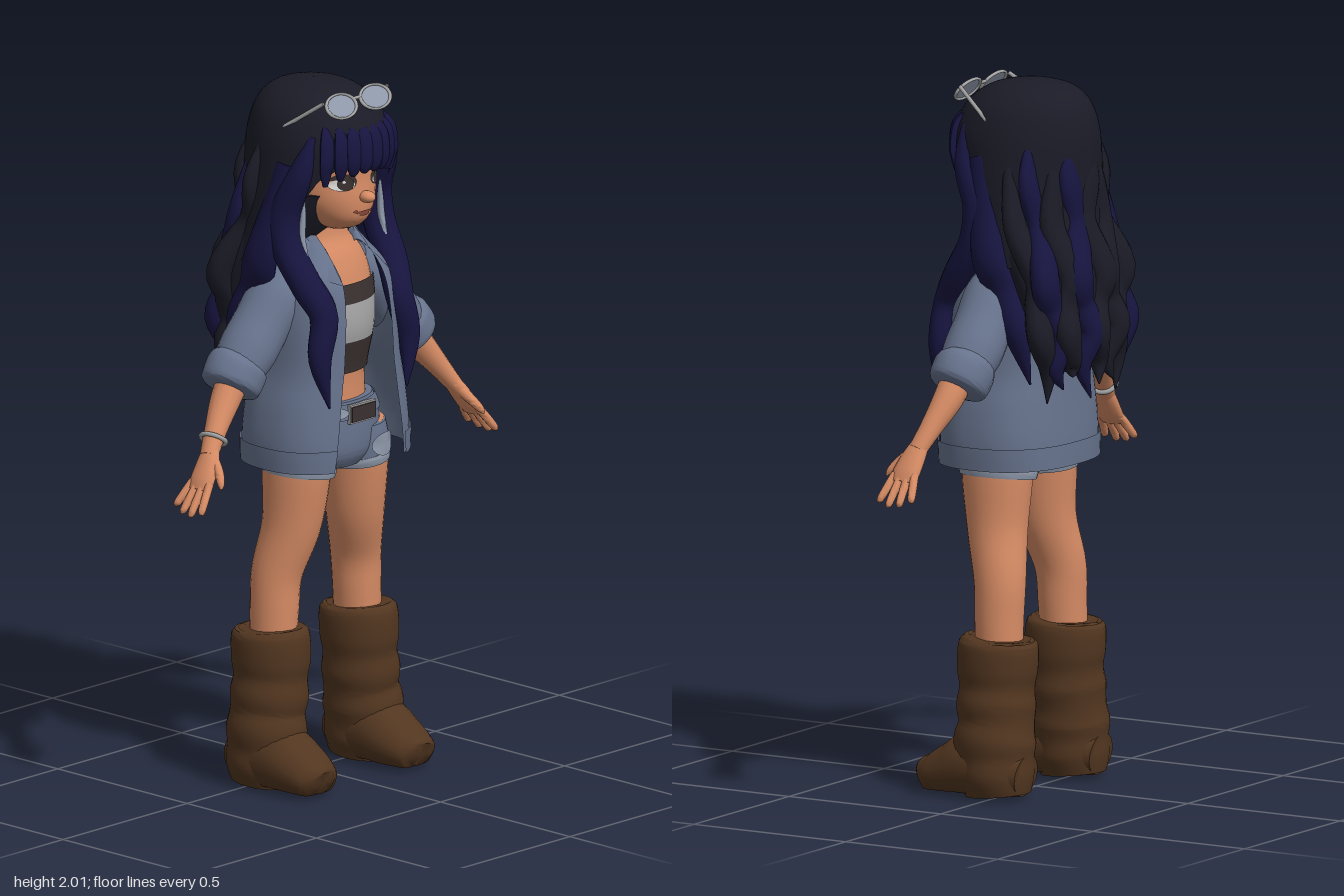
import * as THREE from 'three';
import { toCreasedNormals } from 'three/addons/utils/BufferGeometryUtils.js';

const mat = (name, color, side = THREE.FrontSide) => {
  const m = new THREE.MeshStandardMaterial({ color, side });
  m.name = name;
  return m;
};

// Smooth interpolation along a table of rows; f runs in row units.
function sample(rows, f) {
  const n = rows.length - 1, i = Math.min(Math.floor(f), n - 1), t = f - i;
  const at = (k) => rows[Math.max(0, Math.min(n, k))];
  return rows[i].map((b, k) => {
    const a = at(i - 1)[k], c = at(i + 1)[k], d = at(i + 2)[k];
    return 0.5 * (2 * b + (c - a) * t + (2 * a - 5 * b + 4 * c - d) * t * t + (3 * b - a - 3 * c + d) * t * t * t);
  });
}

// Row position at height y (rows start with a rising y).
function rowAt(rows, y) {
  let lo = 0, hi = rows.length - 1;
  for (let k = 0; k < 30; k++) {
    const mid = (lo + hi) / 2;
    if (sample(rows, mid)[0] < y) lo = mid; else hi = mid;
  }
  return (lo + hi) / 2;
}

// Grid surface from fn(u, v), optionally closed around u and capped at both ends.
function surface(nu, nv, fn, closed = true, caps = closed) {
  const pos = [], idx = [], w = closed ? nu : nu + 1;
  for (let i = 0; i <= nv; i++) for (let j = 0; j < w; j++) pos.push(...fn(j / nu, i / nv));
  for (let i = 0; i < nv; i++) for (let j = 0; j < nu; j++) {
    const k = (j + 1) % w, a = i * w + j, b = i * w + k;
    idx.push(a, b, a + w, b, b + w, a + w);
  }
  if (caps) for (const i of [0, nv]) {
    const c = [0, 0, 0], n = pos.length / 3;
    for (let j = 0; j < w; j++) for (let k = 0; k < 3; k++) c[k] += pos[(i * w + j) * 3 + k] / w;
    pos.push(...c);
    for (let j = 0; j < w; j++) {
      const a = i * w + j, b = i * w + (j + 1) % w;
      idx.push(n, ...(i ? [a, b] : [b, a]));
    }
  }
  const g = new THREE.BufferGeometry();
  g.setAttribute('position', new THREE.Float32BufferAttribute(pos, 3));
  g.setIndex(idx);
  return toCreasedNormals(g, 0.95);
}

// Tapering tube through rows [x, y, z, width radius, depth radius].
function tube(rows, { ref = [0, 0, 1], nu = 14, nv = 24, floor = -9 } = {}) {
  const n = rows.length - 1, R = new THREE.Vector3(...ref);
  const frame = (v) => {
    const f = v * n, p = sample(rows, f);
    const a = sample(rows, Math.max(0, f - 0.02)), b = sample(rows, Math.min(n, f + 0.02));
    const T = new THREE.Vector3(b[0] - a[0], b[1] - a[1], b[2] - a[2]).normalize();
    const S = R.clone().cross(T).normalize();
    return { p, S, N: T.clone().cross(S) };
  };
  return surface(nu, nv, (u, v) => {
    const { p, S, N } = frame(v);
    const c = Math.cos(u * Math.PI * 2) * Math.max(p[3], 0.001), s = Math.sin(u * Math.PI * 2) * Math.max(p[4], 0.001);
    return [p[0] + S.x * c + N.x * s, Math.max(floor, p[1] + S.y * c + N.y * s), p[2] + S.z * c + N.z * s];
  });
}

// Upright body through rows [y, centre z, x radius, z radius]; open(y) is the half width of a front gap.
const sgnPow = (a, p) => Math.sign(a) * Math.abs(a) ** p;
function shell(rows, y0, y1, { grow = 0, p = 1, open, nu = 40, nv = 28, caps = true } = {}) {
  const f0 = rowAt(rows, y0), f1 = rowAt(rows, y1);
  return surface(nu, nv, (u, v) => {
    const [y, cz, rx, rz] = sample(rows, f0 + (f1 - f0) * v);
    const gap = open ? Math.asin(Math.min(1, Math.max(0, open(y)) / rx) ** (1 / p)) : 0;
    const t = gap + u * (Math.PI * 2 - 2 * gap);
    return [Math.max(rx + grow, 0.001) * sgnPow(Math.sin(t), p), y, cz + Math.max(rz + grow, 0.001) * sgnPow(Math.cos(t), p)];
  }, !open, !open && caps);
}

const HEAD = [[1.585, 0.1, 0.03, 0.035], [1.6, 0.095, 0.06, 0.08], [1.63, 0.08, 0.093, 0.121], [1.68, 0.065, 0.12, 0.143],
  [1.74, 0.05, 0.13, 0.154], [1.82, 0.04, 0.132, 0.16], [1.9, 0.03, 0.1, 0.12]];
const TORSO = [[1.05, 0.05, 0.135, 0.1], [1.17, 0.05, 0.125, 0.1], [1.3, 0.055, 0.14, 0.12], [1.42, 0.05, 0.15, 0.108],
  [1.5, 0.045, 0.125, 0.092], [1.56, 0.045, 0.075, 0.065], [1.64, 0.05, 0.058, 0.055]];
const JACKET = [[0.92, 0.055, 0.245, 0.19], [1.0, 0.055, 0.248, 0.19], [1.1, 0.055, 0.235, 0.185], [1.2, 0.055, 0.212, 0.182],
  [1.35, 0.052, 0.203, 0.18], [1.45, 0.05, 0.18, 0.162], [1.52, 0.04, 0.13, 0.12], [1.57, 0.035, 0.09, 0.08]];
const HIPS = [[0.895, 0.055, 0.12, 0.09], [0.94, 0.055, 0.175, 0.113], [1.03, 0.055, 0.178, 0.116], [1.09, 0.055, 0.15, 0.11]];
const SHORTS_LEG = [[0.88, 0.055, 0.094, 0.114], [0.94, 0.055, 0.094, 0.116], [1.0, 0.055, 0.09, 0.113]];
const HAIR = [[1.5, -0.04, 0.225, 0.15], [1.6, -0.01, 0.218, 0.175], [1.7, 0.015, 0.211, 0.197], [1.78, 0.025, 0.203, 0.208],
  [1.86, 0.028, 0.19, 0.207], [1.93, 0.02, 0.162, 0.178], [1.975, 0.012, 0.115, 0.128], [1.995, 0.01, 0.055, 0.06], [2, 0.01, 0.001, 0.001]];
const HAIR_BACK = [[1.2, -0.13, 0.16, 0.055], [1.32, -0.125, 0.205, 0.085], [1.45, -0.105, 0.23, 0.11], [1.58, -0.045, 0.215, 0.14], [1.7, 0, 0.19, 0.165]];

export function createModel() {
  const D = THREE.DoubleSide;
  const hairBlack = mat('black hair', 0x1a1b26, D), hairNavy = mat('navy hair', 0x171540, D), skin = mat('skin', 0xd78c65);
  const denim = mat('denim', 0x67738d, D), paleDenim = mat('pale denim', 0x8f99ab, D), leather = mat('brown suede', 0x523620);
  const charcoal = mat('charcoal', 0x3a3130, D), grey = mat('light grey', 0xa3a3a3, D);
  const white = mat('eye white', 0xe4e2de, D), lip = mat('lips', 0x8e4a3c, D);
  const model = new THREE.Group();
  const add = (name, geo, material, parent = model) => {
    const m = new THREE.Mesh(geo, material);
    m.name = name;
    parent.add(m);
    return m;
  };
  const both = (fn) => [1, -1].forEach((s) => fn(s, s > 0 ? 'left' : 'right'));
  const flip = (rows, s) => rows.map(([x, ...r]) => [x * s, ...r]);

  // Head and face; features are thin patches laid on the body profile centred on cx
  add('head', shell(HEAD, 1.585, 1.9), skin);
  add('torso', shell(TORSO, 1.05, 1.64), skin);
  const patch = (name, x, y, rx, ry, lift, material, rows = HEAD, cx = 0) => {
    const g = new THREE.CircleGeometry(1, 20).scale(rx, ry, 1).translate(x, y, 0), P = g.attributes.position;
    for (let i = 0; i < P.count; i++) {
      const [, cz, hx, hz] = sample(rows, rowAt(rows, P.getY(i)));
      P.setZ(i, cz + lift + hz * Math.sqrt(Math.max(0, 1 - ((P.getX(i) - cx) / hx) ** 2)));
    }
    g.computeVertexNormals();
    add(name, g, material);
  };
  add('nose', new THREE.SphereGeometry(1, 16, 12).scale(0.021, 0.017, 0.027).translate(0, 1.692, 0.216), skin);
  patch('mouth', 0, 1.648, 0.034, 0.004, 0.004, lip);
  patch('lowerLip', 0, 1.641, 0.02, 0.005, 0.003, lip);
  both((s, side) => {
    patch(side + 'MouthCorner', s * 0.033, 1.652, 0.007, 0.004, 0.004, lip);
    patch(side + 'EyeLash', s * 0.064, 1.739, 0.037, 0.025, 0.002, charcoal);
    patch(side + 'EyeWhite', s * 0.066, 1.733, 0.031, 0.017, 0.004, white);
    patch(side + 'Iris', s * 0.06, 1.736, 0.021, 0.02, 0.006, charcoal);
    patch(side + 'EyeGlint', s * 0.06 - 0.006, 1.742, 0.004, 0.004, 0.008, white);
  });

  // Hair: crown, back mass, wavy strands, fringe and front locks
  const faceGap = (y) => y > 1.86 ? 0 : y > 1.76 ? (1.86 - y) * 1.45 : 0.145 + (1.76 - y) * 0.4;
  add('hairCrown', shell(HAIR, 1.5, 2, { open: faceGap, nv: 40 }), hairBlack);
  add('hairBack', shell(HAIR_BACK, 1.2, 1.7), hairBlack);
  for (let k = -4; k <= 4; k++) {
    const a = k * 0.335, sx = Math.sin(a), cz = Math.cos(a), tip = 1.12 + 0.035 * (Math.abs(k * 2 + 1) % 3);
    const at = (y, rx, z, rz, w, d, wave) => [sx * rx + wave * (k % 2 ? 0.024 : -0.022), y, z - cz * rz, w, d];
    add('backStrand', tube([at(1.86, 0.16, 0.02, 0.165, 0.012, 0.012, 0), at(1.74, 0.185, 0.01, 0.175, 0.044, 0.024, 0.6),
      at(1.61, 0.19, -0.03, 0.135, 0.048, 0.032, -0.7), at(1.47, 0.212, -0.1, 0.105, 0.05, 0.038, 1),
      at(1.39, 0.203, -0.11, 0.085, 0.046, 0.034, 0), at(1.31, 0.198, -0.13, 0.085, 0.044, 0.036, -1),
      at(1.22, 0.19, -0.135, 0.065, 0.03, 0.026, 0.4), at(tip, 0.18, -0.135, 0.08, 0.002, 0.002, -0.5)],
      { nu: 12, nv: 32 }), Math.abs(k) === 3 || k === 1 ? hairNavy : hairBlack);
  }
  for (let k = -3.5; k <= 3.5; k++) {
    const x = k * 0.035, z = 0.23 - 3 * x * x, tip = 1.768 - 1.8 * x * x;
    add('fringeStrand', tube([[x * 0.85, 1.905, z - 0.03, 0.012, 0.008], [x * 0.97, 1.87, z - 0.006, 0.028, 0.014],
      [x * 1.03, 1.81, z, 0.029, 0.014], [x * 1.06, 1.78, z - 0.003, 0.022, 0.011], [x * 1.06, tip, z - 0.006, 0.009, 0.006]],
      { nu: 10, nv: 16 }), hairNavy);
  }
  both((s, side) => {
    add(side + 'FrontLock', tube(flip([[0.14, 1.88, 0.14, 0.012, 0.015], [0.17, 1.77, 0.12, 0.034, 0.038], [0.182, 1.66, 0.075, 0.045, 0.046],
      [0.185, 1.56, 0.085, 0.048, 0.045], [0.174, 1.46, 0.145, 0.047, 0.042], [0.152, 1.37, 0.195, 0.043, 0.038],
      [0.178, 1.25, 0.205, 0.036, 0.03], [0.155, 1.11, 0.22, 0.003, 0.003]], s), { nv: 36 }), hairNavy);
    add(side + 'LockHighlight', tube(flip([[0.152, 1.69, 0.12, 0.003, 0.003], [0.156, 1.64, 0.117, 0.009, 0.009],
      [0.16, 1.58, 0.119, 0.01, 0.01], [0.158, 1.52, 0.142, 0.003, 0.003]], s), { nu: 8, nv: 12 }), paleDenim);
    add(side + 'ShoulderLock', tube(flip([[0.18, 1.8, 0.07, 0.02, 0.035], [0.195, 1.66, 0.045, 0.03, 0.045], [0.22, 1.52, 0.015, 0.038, 0.055],
      [0.205, 1.43, -0.02, 0.036, 0.05], [0.218, 1.32, -0.07, 0.032, 0.04], [0.19, 1.17, -0.1, 0.003, 0.003]], s), { nv: 30 }), hairNavy);
  });

  // Sunglasses pushed up on the hair
  const glasses = new THREE.Group();
  glasses.name = 'sunglasses';
  glasses.position.set(0, 1.962, 0.182);
  glasses.rotation.x = -0.6;
  model.add(glasses);
  const rod = (a, b, r) => new THREE.TubeGeometry(new THREE.LineCurve3(new THREE.Vector3(...a), new THREE.Vector3(...b)), 1, r, 8);
  both((s, side) => {
    add(side + 'Lens', new THREE.CircleGeometry(1, 28).scale(0.055, 0.034, 1).translate(s * 0.068, 0, 0), paleDenim, glasses);
    add(side + 'Rim', new THREE.TorusGeometry(1, 0.1, 8, 32).scale(0.057, 0.036, 0.05).translate(s * 0.068, 0, 0), grey, glasses);
    add(side + 'Temple', rod([s * 0.128, 1.979, 0.17], [s * 0.174, 1.888, 0.042], 0.006), grey);
  });
  add('bridge', rod([-0.015, 0.012, 0], [0.015, 0.012, 0], 0.005), grey, glasses);

  // Striped crop top
  [[1.17, 1.265, charcoal], [1.265, 1.375, grey], [1.375, 1.43, charcoal]].forEach(([a, b, m]) =>
    add('cropTopStripe', shell(TORSO, a, b, { grow: 0.008, nv: 8, caps: false }), m));

  // Open jacket with hem, collar, puffed sleeves and rolled cuffs
  const edge = (y) => y < 1.2 ? 0.14 - (y - 0.92) * 0.14 : 0.1 - (y - 1.2) * 0.07;
  add('jacketBody', shell(JACKET, 0.92, 1.57, { p: 0.82, open: edge, nu: 48 }), denim);
  add('jacketHem', shell(JACKET, 0.92, 0.985, { p: 0.82, open: edge, grow: 0.006, nu: 48, nv: 4 }), denim);
  const COLLAR = [[0.085, 1.56, 0.075], [0.1, 1.588, 0.09], [0.125, 1.555, 0.125], [0.15, 1.505, 0.16]];
  add('collar', surface(36, 10, (u, v) => {
    const [rx, y, rz] = sample(COLLAR, 3 * (1 - v)), t = 0.72 + u * (Math.PI * 2 - 1.44), c = Math.cos(t), front = Math.max(c, 0);
    return [rx * Math.sin(t), y - 0.07 * front, 0.035 + rz * c * (1 + 0.75 * front * (1 - v))];
  }, false), denim);
  both((s, side) => {
    add(side + 'Sleeve', tube(flip([[0.1, 1.46, 0.035, 0.06, 0.07], [0.165, 1.4, 0.03, 0.083, 0.09], [0.232, 1.33, 0.028, 0.08, 0.085],
      [0.287, 1.267, 0.028, 0.081, 0.085], [0.335, 1.215, 0.03, 0.07, 0.075]], s), { nu: 20 }), denim);
    add(side + 'Cuff', tube(flip([[0.312, 1.247, 0.028, 0.07, 0.07], [0.324, 1.232, 0.028, 0.088, 0.085], [0.345, 1.203, 0.03, 0.091, 0.087],
      [0.363, 1.179, 0.033, 0.084, 0.082], [0.369, 1.171, 0.034, 0.062, 0.062]], s), { nu: 20 }), denim);

    // Arm and hand
    add(side + 'Forearm', tube(flip([[0.33, 1.23, 0.035, 0.048, 0.048], [0.39, 1.15, 0.043, 0.042, 0.043], [0.45, 1.075, 0.062, 0.031, 0.032],
      [0.495, 1.015, 0.08, 0.023, 0.028]], s)), skin);
    add(side + 'Palm', tube(flip([[0.48, 1.035, 0.075, 0.021, 0.025], [0.505, 0.998, 0.085, 0.022, 0.037], [0.535, 0.955, 0.092, 0.019, 0.043],
      [0.553, 0.93, 0.093, 0.012, 0.038]], s)), skin);
    for (let k = 0; k < 4; k++) {
      const z = 0.062 + k * 0.021, out = (k - 1.5) * 0.012, len = [0.8, 0.96, 1, 0.88][k];
      add(side + 'Finger', tube(flip([[0.54, 0.95, z, 0.012, 0.012], [0.54 + 0.035 * len, 0.95 - 0.045 * len, z + out * 0.6, 0.012, 0.012],
        [0.54 + 0.058 * len, 0.95 - 0.076 * len, z + out, 0.01, 0.01], [0.54 + 0.063 * len, 0.95 - 0.085 * len, z + out, 0.003, 0.003]], s),
        { nu: 10, nv: 12 }), skin);
    }
    add(side + 'Thumb', tube(flip([[0.495, 1.01, 0.095, 0.016, 0.017], [0.508, 0.98, 0.13, 0.014, 0.014], [0.522, 0.955, 0.152, 0.011, 0.011],
      [0.53, 0.94, 0.16, 0.003, 0.003]], s), { nu: 10, nv: 14 }), skin);

    // Shorts legs with worn patches, legs and slouchy boots
    add(side + 'ShortsLeg', tube(flip([[0.108, 0.895, 0.055, 0.094, 0.113], [0.104, 0.95, 0.055, 0.094, 0.115], [0.1, 1.0, 0.055, 0.085, 0.11]], s), { nu: 24, nv: 8 }), denim);
    add(side + 'ShortsHem', tube(flip([[0.11, 0.883, 0.055, 0.093, 0.113], [0.108, 0.9, 0.055, 0.096, 0.117], [0.106, 0.912, 0.055, 0.095, 0.115]], s), { nu: 24, nv: 6 }), paleDenim);
    patch(side + 'WornPatch', s * 0.12, 0.942, 0.05, 0.034, 0.005, paleDenim, SHORTS_LEG, s * 0.106);
    add(side + 'Leg', tube(flip([[0.17, 0.38, 0.015, 0.064, 0.068], [0.166, 0.49, 0.017, 0.068, 0.07], [0.158, 0.6, 0.02, 0.07, 0.075],
      [0.127, 0.74, 0.047, 0.08, 0.088], [0.115, 0.9, 0.055, 0.086, 0.106], [0.105, 1.0, 0.055, 0.08, 0.1]], s), { nu: 22 }), skin);
    add(side + 'BootShaft', tube(flip([[0.198, 0.0, 0.0, 0.085, 0.095], [0.198, 0.05, 0.005, 0.103, 0.108], [0.196, 0.1, 0.012, 0.102, 0.114],
      [0.194, 0.15, 0.014, 0.109, 0.119], [0.188, 0.2, 0.012, 0.102, 0.109], [0.184, 0.25, 0.015, 0.108, 0.114], [0.18, 0.3, 0.015, 0.101, 0.108],
      [0.178, 0.35, 0.015, 0.107, 0.116], [0.177, 0.415, 0.013, 0.106, 0.116], [0.177, 0.437, 0.012, 0.095, 0.104], [0.177, 0.435, 0.012, 0.07, 0.078]], s),
      { nu: 26, nv: 50 }), leather);
    add(side + 'BootFoot', tube(flip([[0.197, 0.06, -0.09, 0.06, 0.06], [0.197, 0.07, -0.02, 0.095, 0.09], [0.196, 0.075, 0.07, 0.098, 0.1],
      [0.195, 0.058, 0.14, 0.092, 0.08], [0.197, 0.042, 0.2, 0.079, 0.059], [0.198, 0.038, 0.228, 0.062, 0.05], [0.198, 0.034, 0.24, 0.04, 0.034]], s),
      { ref: [0, 1, 0], nu: 24, floor: 0 }), leather);
  });

  // Shorts body, waistband and buckle
  add('shorts', shell(HIPS, 0.895, 1.09), denim);
  add('waistband', shell(HIPS, 1.04, 1.085, { grow: 0.005, nv: 4, caps: false }), denim);
  patch('waistWear', -0.075, 1.062, 0.045, 0.016, 0.009, paleDenim, HIPS);
  add('buckle', new THREE.BoxGeometry(0.104, 0.054, 0.012).translate(0.022, 1.055, 0.174), grey);
  add('buckleCentre', new THREE.BoxGeometry(0.094, 0.044, 0.008).translate(0.022, 1.055, 0.18), charcoal);

  // Bracelet on the right wrist
  const bracelet = add('bracelet', new THREE.TorusGeometry(0.036, 0.007, 8, 28), grey);
  bracelet.position.set(-0.465, 1.055, 0.068);
  bracelet.quaternion.setFromUnitVectors(new THREE.Vector3(0, 0, 1), new THREE.Vector3(-0.6, -0.78, 0.2).normalize());
  return model;
}
